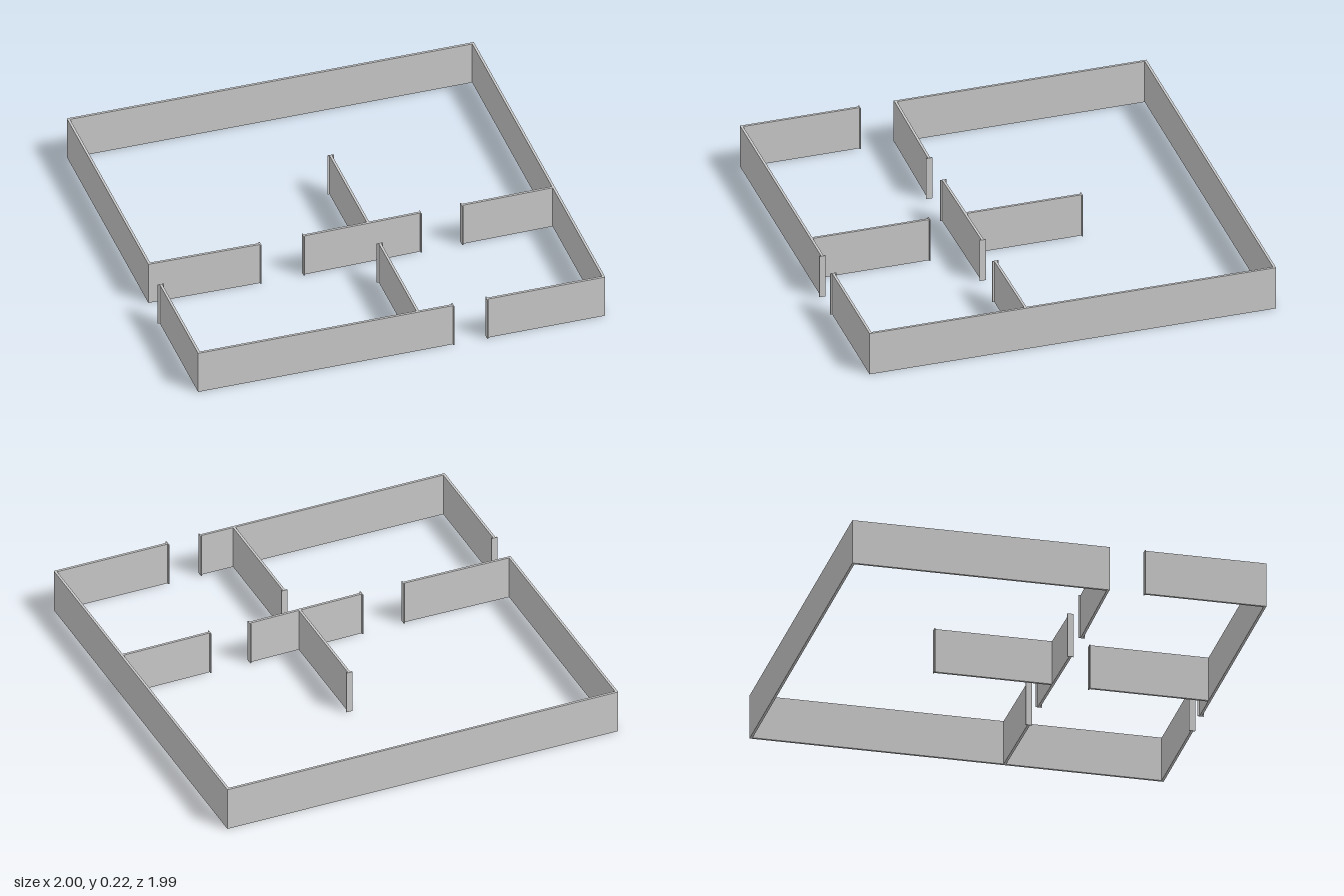
import * as THREE from 'three';

const HEIGHT = 0.22, THICK = 0.012, JAMB_WIDTH = 0.03, JAMB_DEPTH = 0.005;
const WEST = -0.985, EAST = 0.994, NORTH = -0.994, SOUTH = 0.979, SPINE = 0.086;

export function createModel() {
  const group = new THREE.Group();
  const material = new THREE.MeshStandardMaterial({ color: 0xcccccc, flatShading: true });

  // upright slab centred at (x, z), its length turned along the given angle
  function slab(name, x, z, length, width, angle) {
    const mesh = new THREE.Mesh(new THREE.BoxGeometry(length, HEIGHT, width), material);
    mesh.name = name;
    mesh.position.set(x, HEIGHT / 2, z);
    mesh.rotation.y = angle;
    group.add(mesh);
  }

  // wall between two plan points, with a door jamb on each free end
  function wall(name, [x0, z0], [x1, z1], jambStart = false, jambEnd = false) {
    const dx = x1 - x0, dz = z1 - z0, angle = Math.atan2(-dz, dx);
    slab(name, (x0 + x1) / 2, (z0 + z1) / 2, Math.hypot(dx, dz), THICK, angle);
    if (jambStart) slab(name + 'StartJamb', x0, z0, JAMB_DEPTH, JAMB_WIDTH, angle);
    if (jambEnd) slab(name + 'EndJamb', x1, z1, JAMB_DEPTH, JAMB_WIDTH, angle);
  }

  // outer walls, run past the corners by half a thickness
  const h = THICK / 2;
  wall('backWall', [WEST - h, NORTH], [EAST + h, NORTH]);
  wall('leftWall', [EAST, NORTH], [EAST, SOUTH + h]);
  wall('rightWallBack', [WEST, NORTH], [WEST, 0.234]);
  wall('rightWallFront', [WEST, 0.403], [WEST, SOUTH + h], true);
  wall('frontWallRight', [WEST, SOUTH], [0.257, SOUTH], false, true);
  wall('frontWallLeft', [0.423, SOUTH], [EAST, SOUTH], true);

  // cross partitions, slightly askew
  wall('crossPartitionRight', [WEST, 0.227], [-0.445, 0.235], false, true);
  wall('crossPartitionMiddle', [-0.233, 0.233], [0.342, 0.224], true, true);
  wall('crossPartitionLeft', [0.544, 0.226], [EAST, 0.221], true);

  // central spine partitions
  wall('spinePartitionBack', [SPINE, -0.341], [SPINE, 0.228], true);
  wall('spinePartitionFront', [SPINE, 0.403], [SPINE, SOUTH], true);

  return group;
}
